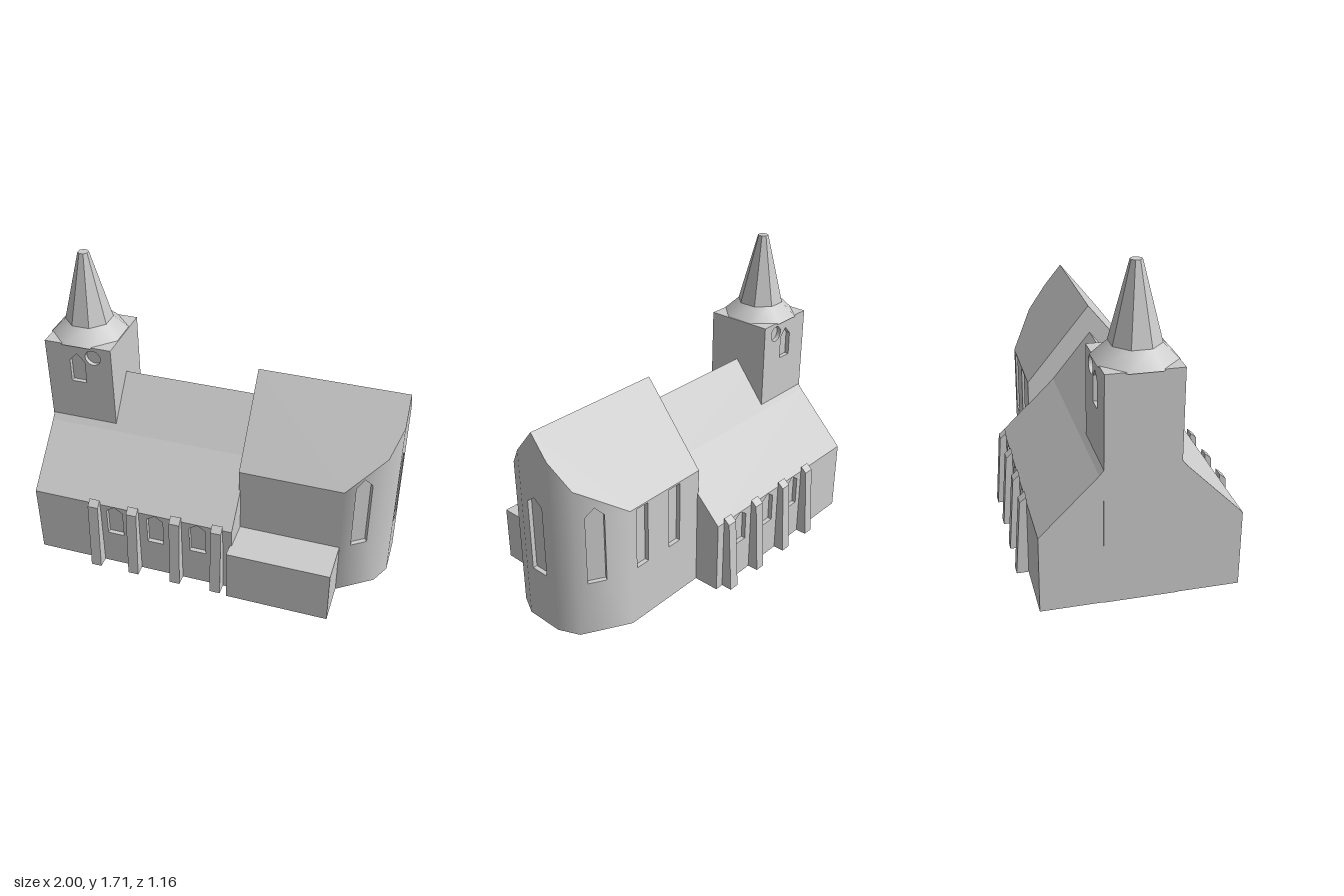
import * as THREE from 'three';

const stone = new THREE.MeshStandardMaterial({ color: 0xcccccc });
stone.name = 'pale grey stone';
const DEPTH = 0.025; // window recess

const shapeOf = (pts) => new THREE.Shape(pts.map(([x, y]) => new THREE.Vector2(x, y)));

function add(parent, name, geometry, x = 0, y = 0, z = 0) {
  const mesh = new THREE.Mesh(geometry, stone);
  mesh.name = name;
  mesh.position.set(x, y, z);
  parent.add(mesh);
  return mesh;
}

// Box given by its limits
function block(parent, name, [x0, x1], [y0, y1], [z0, z1]) {
  return add(parent, name, new THREE.BoxGeometry(x1 - x0, y1 - y0, z1 - z0),
    (x0 + x1) / 2, (y0 + y1) / 2, (z0 + z1) / 2);
}

// Window outlines, s measured along the wall
const pointed = (s, w, y0, shoulder, apex) => shapeOf([
  [s - w / 2, y0], [s + w / 2, y0], [s + w / 2, shoulder], [s, apex], [s - w / 2, shoulder]]);
const square = (s, w, y0, y1) => shapeOf([
  [s - w / 2, y0], [s + w / 2, y0], [s + w / 2, y1], [s - w / 2, y1]]);
const round = (s, y, r) => new THREE.Shape().absarc(s, y, r, 0, Math.PI * 2);

// Upright wall from a to b (x, z), left to right as seen from outside, with recessed openings.
// na and nb are optional end normals that round the shading of neighbouring walls.
function wall(parent, name, a, b, outline, openings = [], na, nb) {
  const u = new THREE.Vector3(b[0] - a[0], 0, b[1] - a[1]);
  const length = u.length();
  u.normalize();
  const up = new THREE.Vector3(0, 1, 0);
  const n = u.clone().cross(up);
  const place = new THREE.Matrix4().makeBasis(u, up, n).setPosition(a[0], 0, a[1]);

  const shape = shapeOf(outline);
  shape.holes = openings;
  const geo = new THREE.ExtrudeGeometry(shape, { depth: DEPTH, bevelEnabled: false, curveSegments: 10 });
  geo.translate(0, 0, -DEPTH);
  if (na) {
    const { position, normal } = geo.attributes;
    for (let i = 0; i < position.count; i++) {
      if (normal.getZ(i) < 0.9) continue;
      const m = na.clone().lerp(nb, position.getX(i) / length).normalize();
      normal.setXYZ(i, m.dot(u), 0, m.dot(n));
    }
  }
  add(parent, name, geo.applyMatrix4(place));
  for (const o of openings) {
    const back = new THREE.ShapeGeometry(o, 10).translate(0, 0, -DEPTH);
    add(parent, name + 'Recess', back.applyMatrix4(place));
  }
}

// Convex flat face from a loop of corners
function face(parent, name, pts) {
  const verts = [];
  for (let i = 1; i < pts.length - 1; i++) verts.push(...pts[0], ...pts[i], ...pts[i + 1]);
  const geo = new THREE.BufferGeometry();
  geo.setAttribute('position', new THREE.Float32BufferAttribute(verts, 3));
  geo.computeVertexNormals();
  add(parent, name, geo);
}

function buildNave() {
  const nave = new THREE.Group();
  nave.name = 'nave';
  const x0 = -0.985, x1 = 0.185, half = 0.515, mid = -0.005, length = x1 - x0;

  // Body with roof; the lower sides are set back behind the window walls
  const side = [[half - DEPTH, 0], [half - DEPTH, 0.42], [half, 0.42], [0.217, 0.72]];
  const mirrored = side.map(([x, y]) => [-x, y]).reverse();
  const body = new THREE.ExtrudeGeometry(shapeOf([...side, [0, 0.99], ...mirrored]),
    { depth: length, bevelEnabled: false });
  add(nave, 'naveBody', body.rotateY(Math.PI / 2), x0, 0, mid);

  for (const s of [1, -1]) {
    const z = mid + s * half;
    const [a, b] = s > 0 ? [x0, x1] : [x1, x0];
    const windows = [-0.503, -0.262, -0.012].map((x) => pointed(Math.abs(x - a), 0.095, 0.22, 0.385, 0.417));
    wall(nave, 'aisleWall', [a, z], [b, z], [[0, 0], [length, 0], [length, 0.42], [0, 0.42]], windows);

    // Tapering buttresses
    for (const x of [-0.617, -0.387, -0.135, 0.105]) {
      const geo = new THREE.ExtrudeGeometry(shapeOf([[0, 0], [0.063, 0], [0.035, 0.42], [0, 0.45]]),
        { depth: 0.06, bevelEnabled: false });
      geo.translate(0, 0, -0.03).rotateY(-s * Math.PI / 2);
      add(nave, 'buttress', geo, x, 0, z);
    }
  }
  return nave;
}

function buildTower() {
  const tower = new THREE.Group();
  tower.name = 'tower';
  const x0 = -0.988, x1 = -0.6, front = 0.185, back = -0.2, top = 1.235, w = x1 - x0;
  block(tower, 'towerCore', [x0, x1], [0, top], [back + DEPTH, front - DEPTH]);
  for (const [a, b, z] of [[x0, x1, front], [x1, x0, back]]) {
    const openings = [
      pointed(Math.abs(-0.803 - a), 0.088, 1.0, 1.135, 1.182),
      round(Math.abs(-0.708 - a), 1.17, 0.045)];
    wall(tower, 'towerWall', [a, z], [b, z], [[0, 0], [w, 0], [w, top], [0, top]], openings);
  }

  // Eight-sided skirt and spire, flats facing the walls
  const octagon = (rTop, rBottom, h) => {
    const k = Math.cos(Math.PI / 8);
    return new THREE.CylinderGeometry(rTop / k, rBottom / k, h, 8, 1, false, Math.PI / 8);
  };
  add(tower, 'spireSkirt', octagon(0.122, 0.2, 0.08), -0.8, 1.27, -0.008);
  const spire = octagon(0.028, 0.122, 0.395).toNonIndexed();
  spire.computeVertexNormals();
  add(tower, 'spire', spire, -0.8, 1.5075, -0.008);
  return tower;
}

function buildChoir() {
  const choir = new THREE.Group();
  choir.name = 'choir';
  const ridgeZ = -0.0125, ridgeY = 1.15, slope = 0.44 / 0.3575;
  const roofY = (z) => ridgeY - slope * Math.abs(z - ridgeZ);

  // Plan from the front west corner round the apse to the back west corner
  const plan = [[0.175, 0.345], [0.75, 0.345], [0.945, 0.21], [1, 0.1],
    [1, -0.115], [0.95, -0.23], [0.7, -0.37], [0.175, -0.37]];
  const count = plan.length;
  const normals = plan.map(([x, z], i) => {
    const [bx, bz] = plan[(i + 1) % count];
    return new THREE.Vector3(z - bz, 0, bx - x).normalize();
  });
  // Shading normal at each corner: straight walls stay flat, apse walls blend
  const cornerNormal = (i) => {
    if (i <= 1) return normals[0];
    if (i >= 6) return normals[6];
    return normals[i - 1].clone().add(normals[i]).normalize();
  };

  // Openings by wall number
  const openings = {
    1: [pointed(0.115, 0.095, 0.32, 0.72, 0.77)],
    3: [pointed(0.1, 0.105, 0.32, 0.735, 0.775)],
    5: [pointed(0.105, 0.1, 0.32, 0.72, 0.77)],
    6: [square(0.085, 0.085, 0.34, 0.7), square(0.33, 0.085, 0.34, 0.7)],
  };
  plan.forEach((a, i) => {
    const b = plan[(i + 1) % count];
    const length = Math.hypot(b[0] - a[0], b[1] - a[1]);
    const outline = [[0, 0], [length, 0], [length, roofY(b[1])]];
    const t = (ridgeZ - a[1]) / (b[1] - a[1]);
    if (t > 0 && t < 1) outline.push([t * length, ridgeY]);
    outline.push([0, roofY(a[1])]);
    const ends = i < 7 ? [cornerNormal(i), cornerNormal(i + 1)] : [];
    wall(choir, 'choirWall', a, b, outline, openings[i], ...ends);
  });

  // Pitched roof trimmed to the plan, and the floor
  const onRoof = ([x, z]) => [x, roofY(z), z];
  const west = [0.175, ridgeY, ridgeZ], east = [1, ridgeY, ridgeZ];
  face(choir, 'choirRoofFront', [west, ...plan.slice(0, 4).map(onRoof), east]);
  face(choir, 'choirRoofBack', [east, ...plan.slice(4).map(onRoof), west]);
  face(choir, 'choirFloor', plan.map(([x, z]) => [x, 0, z]).reverse());
  return choir;
}

export function createModel() {
  const church = new THREE.Group();
  church.name = 'church';
  church.add(buildNave(), buildTower(), buildChoir());
  block(church, 'sacristy', [0.175, 0.75], [0, 0.32], [0.3, 0.58]);
  return church;
}
